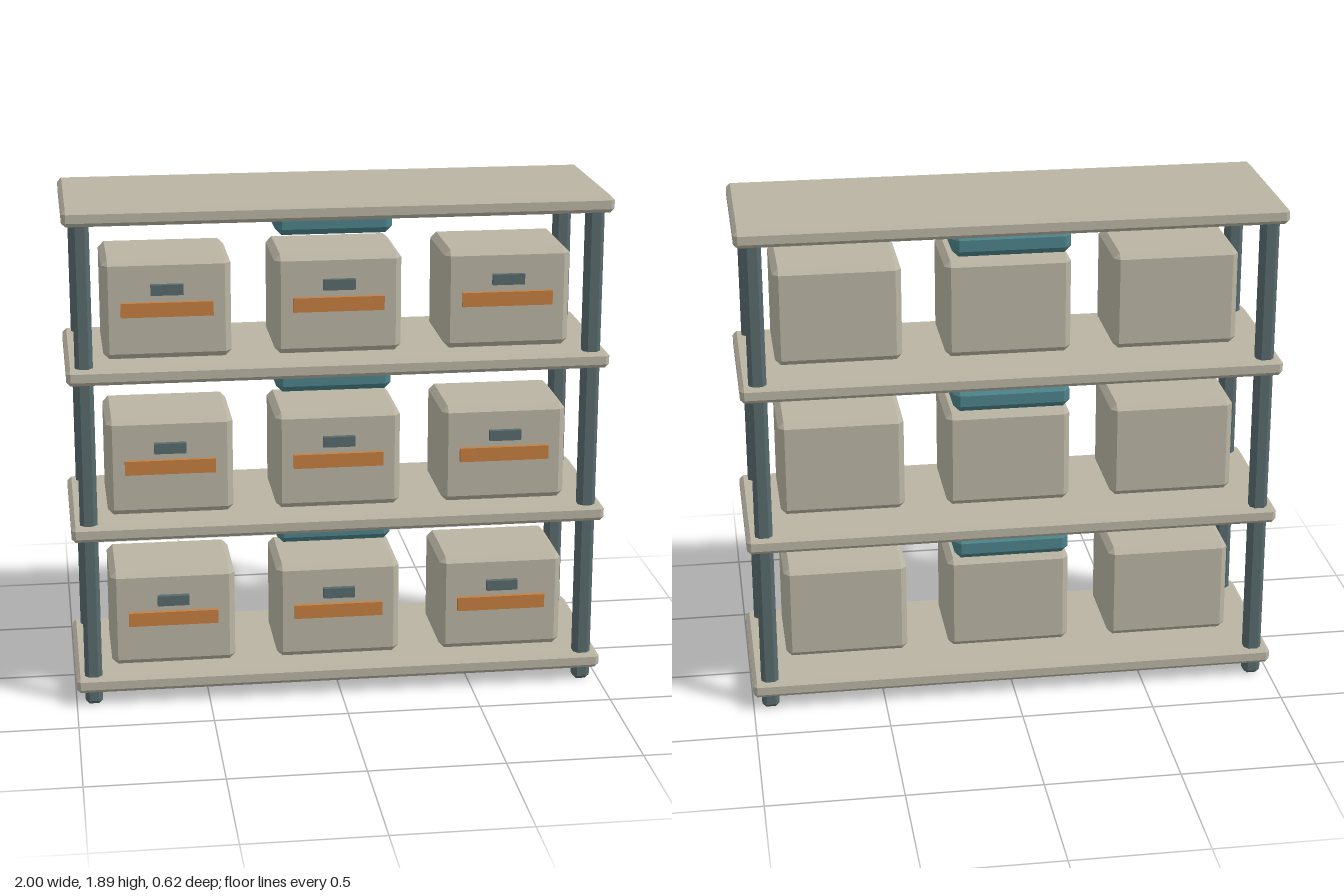
import * as THREE from 'three';
import { ConvexGeometry } from 'three/addons/geometries/ConvexGeometry.js';

const mat = (name, color) => {
  const m = new THREE.MeshStandardMaterial({ color });
  m.name = name;
  return m;
};

// Box with flat 45 degree bevels: three points at each corner
function bevelBox(w, h, d, c) {
  const pts = [];
  for (const sx of [-1, 1]) for (const sy of [-1, 1]) for (const sz of [-1, 1]) {
    const x = w / 2, y = h / 2, z = d / 2;
    pts.push(
      new THREE.Vector3(sx * x, sy * (y - c), sz * (z - c)),
      new THREE.Vector3(sx * (x - c), sy * y, sz * (z - c)),
      new THREE.Vector3(sx * (x - c), sy * (y - c), sz * z));
  }
  return new ConvexGeometry(pts);
}

export function createModel() {
  const group = new THREE.Group();
  group.name = 'shelvingUnit';

  const beige = mat('warmBeige', 0xb9b4a3);
  const slate = mat('slateGrey', 0x586a6d);
  const orange = mat('labelOrange', 0xc67e41);
  const teal = mat('teal', 0x4c838a);

  const add = (parent, name, geometry, material, x, y, z) => {
    const mesh = new THREE.Mesh(geometry, material);
    mesh.name = name;
    mesh.position.set(x, y, z);
    parent.add(mesh);
  };

  // Four shelves
  const shelf = bevelBox(2, 0.062, 0.625, 0.015);
  for (const y of [0.081, 0.68, 1.279, 1.864]) add(group, 'shelf', shelf, beige, 0, y, 0);

  // Corner posts, running from the floor into the top shelf
  const post = bevelBox(0.065, 1.87, 0.063, 0.015);
  for (const x of [-0.935, 0.935])
    for (const z of [-0.267, 0.267]) add(group, 'post', post, slate, x, 0.935, z);

  // Three storage boxes per level, with a label strip and a pull
  const bin = bevelBox(0.468, 0.372, 0.347, 0.022);
  const strip = new THREE.BoxGeometry(0.336, 0.053, 0.024);
  const pull = new THREE.BoxGeometry(0.119, 0.039, 0.02);
  const tray = bevelBox(0.434, 0.09, 0.32, 0.024);
  for (const y of [0.305, 0.904, 1.503]) {
    for (const x of [-0.627, 0, 0.627]) {
      const box = new THREE.Group();
      box.name = 'storageBox';
      box.position.set(x, y, 0.043);
      add(box, 'boxBody', bin, beige, 0, 0, 0);
      add(box, 'labelStrip', strip, orange, 0, 0.002, 0.178);
      add(box, 'pullHandle', pull, slate, 0, 0.078, 0.194);
      group.add(box);
    }
    // Tray above the middle box
    add(group, 'tray', tray, teal, 0, y + 0.275, -0.064);
  }
  return group;
}
